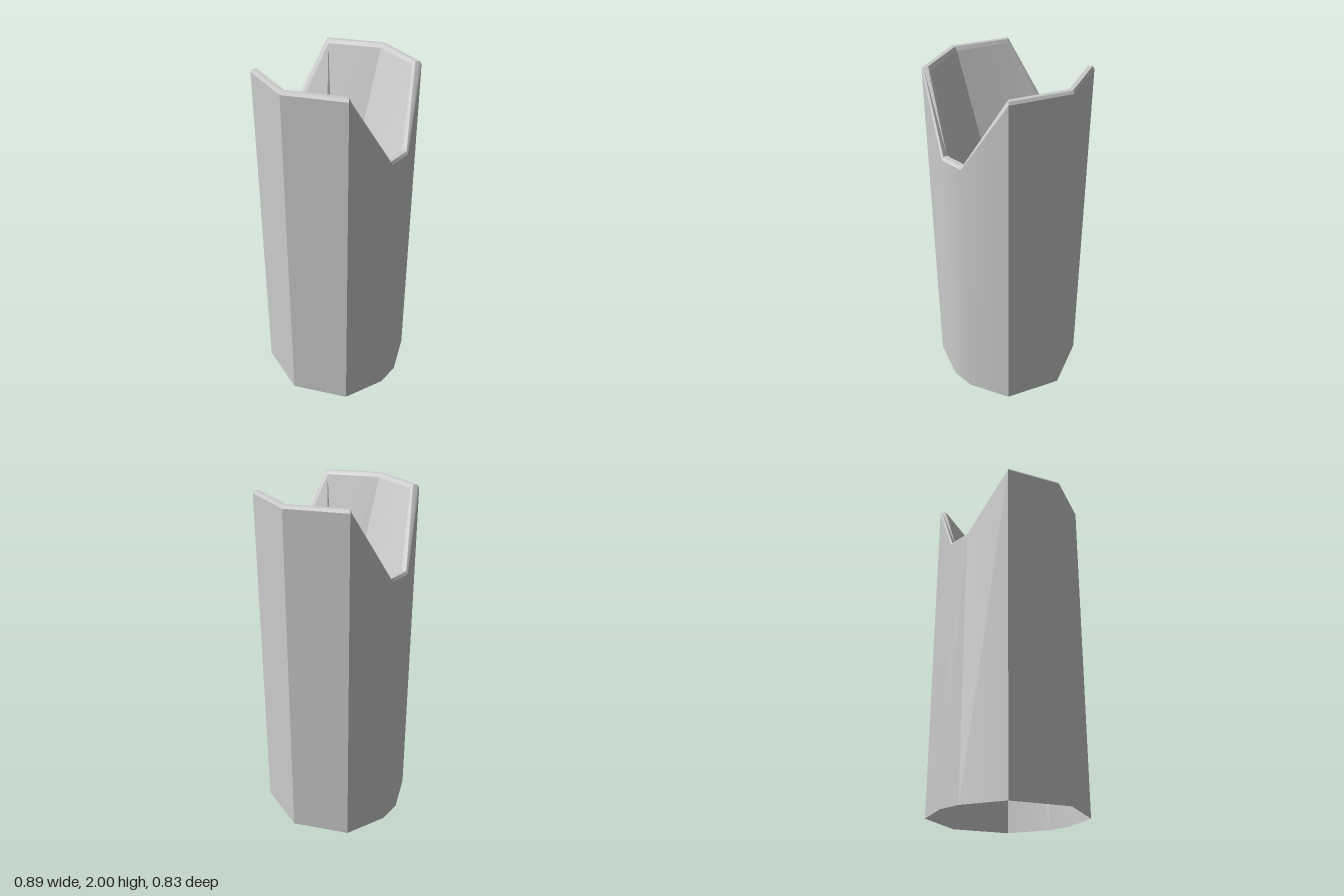
import * as THREE from 'three';
import { toCreasedNormals } from 'three/addons/utils/BufferGeometryUtils.js';

const material = new THREE.MeshStandardMaterial({ color: 0xcccccc, side: THREE.DoubleSide });

// Mirrors a quarter outline (side, corner, front) into a ten-sided ring of [x, z].
function outline(side, corner, front) {
  const [cx, cz] = corner, [fx, fz] = front;
  return [
    [side, 0], [cx, cz], [fx, fz], [-fx, fz], [-cx, cz],
    [-side, 0], [-cx, -cz], [-fx, -fz], [fx, -fz], [cx, -cz],
  ];
}

// The front and back corners of the rim dip to form the two notches.
const rimHeight = (i) => ([2, 3, 7, 8].includes(i) ? 1.6 : 2);

const ring = (points, height) =>
  points.map(([x, z], i) => [x, typeof height === 'function' ? height(i) : height, z]);

// Joins successive rings with quads; can close the last ring with a fan.
function loft(name, rings, capped = false) {
  const positions = [], index = [], n = rings[0].length;
  rings.forEach((r) => r.forEach((p) => positions.push(...p)));
  for (let r = 0; r < rings.length - 1; r++) {
    for (let i = 0; i < n; i++) {
      const a = r * n + i, b = r * n + (i + 1) % n;
      index.push(a, a + n, b, b, a + n, b + n);
    }
  }
  if (capped) {
    const base = (rings.length - 1) * n;
    positions.push(0, rings[rings.length - 1][0][1], 0);
    for (let i = 0; i < n; i++) index.push(base + i, base + n, base + (i + 1) % n);
  }
  const geometry = new THREE.BufferGeometry();
  geometry.setAttribute('position', new THREE.Float32BufferAttribute(positions, 3));
  geometry.setIndex(index);
  const mesh = new THREE.Mesh(toCreasedNormals(geometry.toNonIndexed(), 0.6), material);
  mesh.name = name;
  return mesh;
}

export function createModel() {
  const group = new THREE.Group();
  group.name = 'notchedTube';

  const outer = outline(0.445, [0.315, 0.315], [0.072, 0.415]);
  const lipOuter = outline(0.436, [0.308, 0.308], [0.072, 0.405]);
  const lipInner = outline(0.41, [0.29, 0.29], [0.072, 0.38]);
  const inner = outline(0.396, [0.28, 0.28], [0.072, 0.367]);
  const foot = outline(0.16, [0.11, 0.12], [0.072, 0.135]);
  const knobTop = outline(0.1, [0.085, 0.065], [0.072, 0.07]);
  const dropped = (d) => (i) => rimHeight(i) - d;

  // Outer wall, open at the bottom
  group.add(loft('outerWall', [ring(outer, 0), ring(outer, dropped(0.015))]));

  // Softly rounded lip following the notches
  group.add(loft('rim', [
    ring(outer, dropped(0.015)), ring(lipOuter, rimHeight),
    ring(lipInner, rimHeight), ring(inner, dropped(0.02)),
  ]));

  // Funnel-shaped inside wall
  group.add(loft('funnel', [ring(inner, dropped(0.02)), ring(foot, 1.34)]));

  // Low bevelled knob closing the funnel
  group.add(loft('centreKnob', [ring(foot, 1.34), ring(knobTop, 1.38)], true));

  return group;
}
